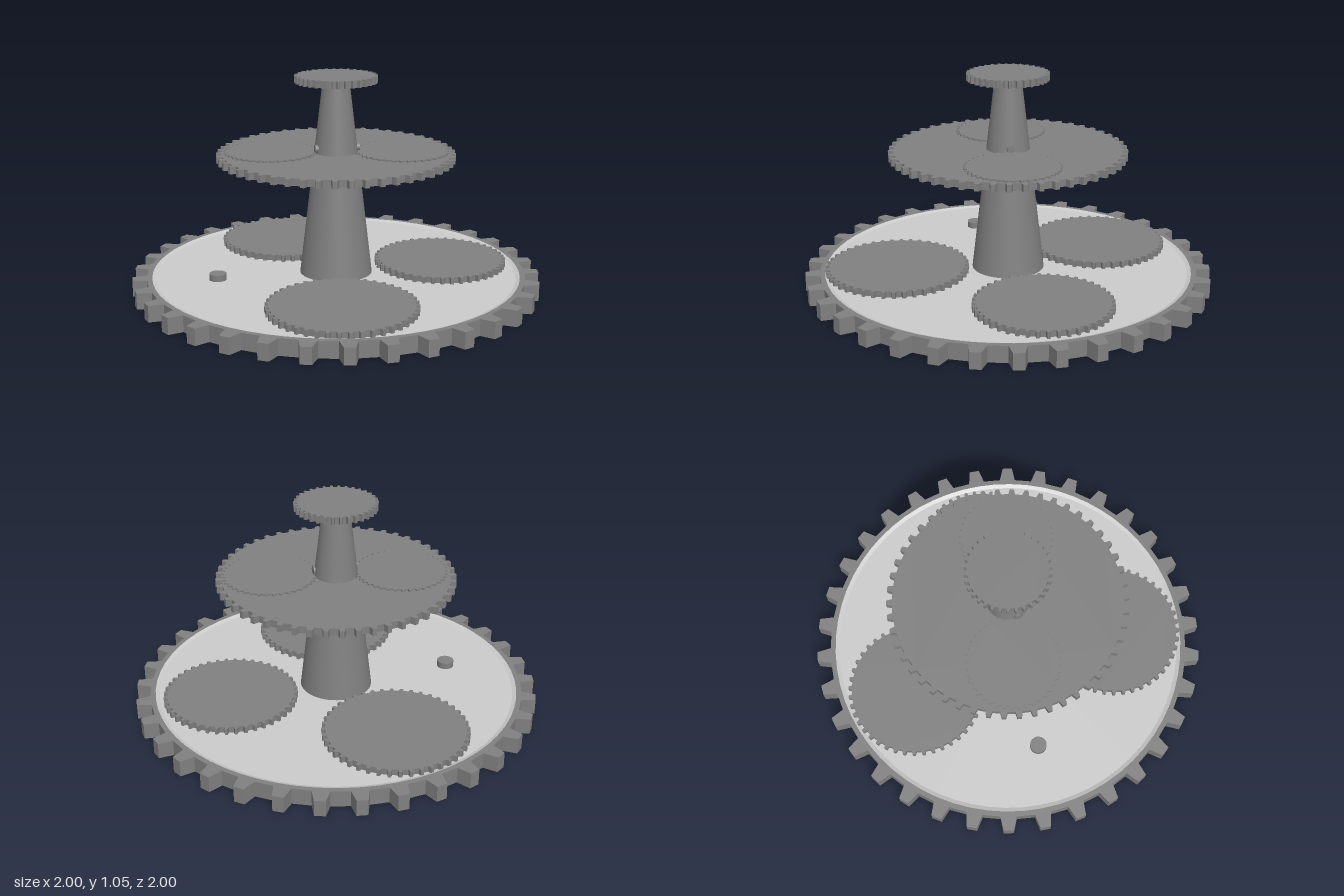
import * as THREE from 'three';
import { toCreasedNormals } from 'three/addons/utils/BufferGeometryUtils.js';

const gearGrey = new THREE.MeshStandardMaterial({ color: 0x808080 });
const paleGrey = new THREE.MeshStandardMaterial({ color: 0xcccccc });

// Flat spur gear standing on y, with trapezoid teeth; optional round hole
function gear(name, { teeth, root, tip, height, x = 0, y = 0, z = 0, hole = 0 }) {
  const shape = new THREE.Shape();
  const pitch = (Math.PI * 2) / teeth;
  const corners = [[-0.24, root], [-0.14, tip], [0.14, tip], [0.24, root]];
  for (let i = 0; i < teeth; i++) {
    for (const [offset, r] of corners) {
      const a = Math.PI / 2 + (i + offset) * pitch;
      const px = Math.cos(a) * r, py = Math.sin(a) * r;
      if (i === 0 && offset === -0.24) shape.moveTo(px, py);
      else shape.lineTo(px, py);
    }
  }
  shape.closePath();
  if (hole) shape.holes.push(new THREE.Path().absarc(0, 0, hole, 0, Math.PI * 2, true));
  const geometry = new THREE.ExtrudeGeometry(shape, { depth: height, bevelEnabled: false, curveSegments: 32 });
  geometry.rotateX(-Math.PI / 2);
  const mesh = new THREE.Mesh(geometry, gearGrey);
  mesh.name = name;
  mesh.position.set(x, y, z);
  return mesh;
}

function part(name, geometry, material, x = 0, y = 0, z = 0) {
  const mesh = new THREE.Mesh(geometry, material);
  mesh.name = name;
  mesh.position.set(x, y, z);
  return mesh;
}

export function createModel() {
  const model = new THREE.Group();
  model.name = 'tieredGearStand';

  // Base tier: solid gear with a raised rim around a shallow tray
  const base = { teeth: 34, root: 0.93, tip: 1 };
  model.add(gear('baseGear', { ...base, height: 0.06 }));
  model.add(gear('baseRim', { ...base, height: 0.02, y: 0.06, hole: 0.905 }));
  const tray = new THREE.LatheGeometry(
    [[0.905, 0.08], [0.885, 0.072], [0, 0.072]].map(([r, y]) => new THREE.Vector2(r, y)), 64);
  model.add(part('baseTray', toCreasedNormals(tray, 0.3), paleGrey));

  // Three gear plates and a small peg lying on the tray
  [[-0.13, -0.53, 0.35], [-0.105, 0.54, 0.352], [0.54, 0.01, 0.33]].forEach(([x, z, r], i) =>
    model.add(gear('trayGear' + (i + 1), { teeth: 44, root: r - 0.018, tip: r, height: 0.035, x, y: 0.068, z })));
  model.add(part('trayPeg', new THREE.CylinderGeometry(0.042, 0.042, 0.035, 20), gearGrey, -0.59, 0.086, -0.01));

  // Tapered column through all tiers
  model.add(part('column', new THREE.CylinderGeometry(0.065, 0.178, 0.955, 48), gearGrey, 0, 0.5475, 0));

  // Middle tier with two thin gears laid on it
  model.add(gear('middleGear', { teeth: 50, root: 0.553, tip: 0.58, height: 0.035, y: 0.645 }));
  [[0.31, 0.08, 0.23], [-0.31, -0.065, 0.227]].forEach(([x, z, r], i) =>
    model.add(gear('middlePlateGear' + (i + 1), { teeth: 40, root: r - 0.012, tip: r, height: 0.009, x, y: 0.679, z })));

  // Cross pin through the column
  const pin = new THREE.CylinderGeometry(0.02, 0.02, 0.22, 16).rotateZ(Math.PI / 2);
  model.add(part('crossPin', pin, gearGrey, 0, 0.703, 0.02));

  // Top tier
  model.add(gear('topGear', { teeth: 34, root: 0.184, tip: 0.2, height: 0.035, y: 1.02 }));

  return model;
}
